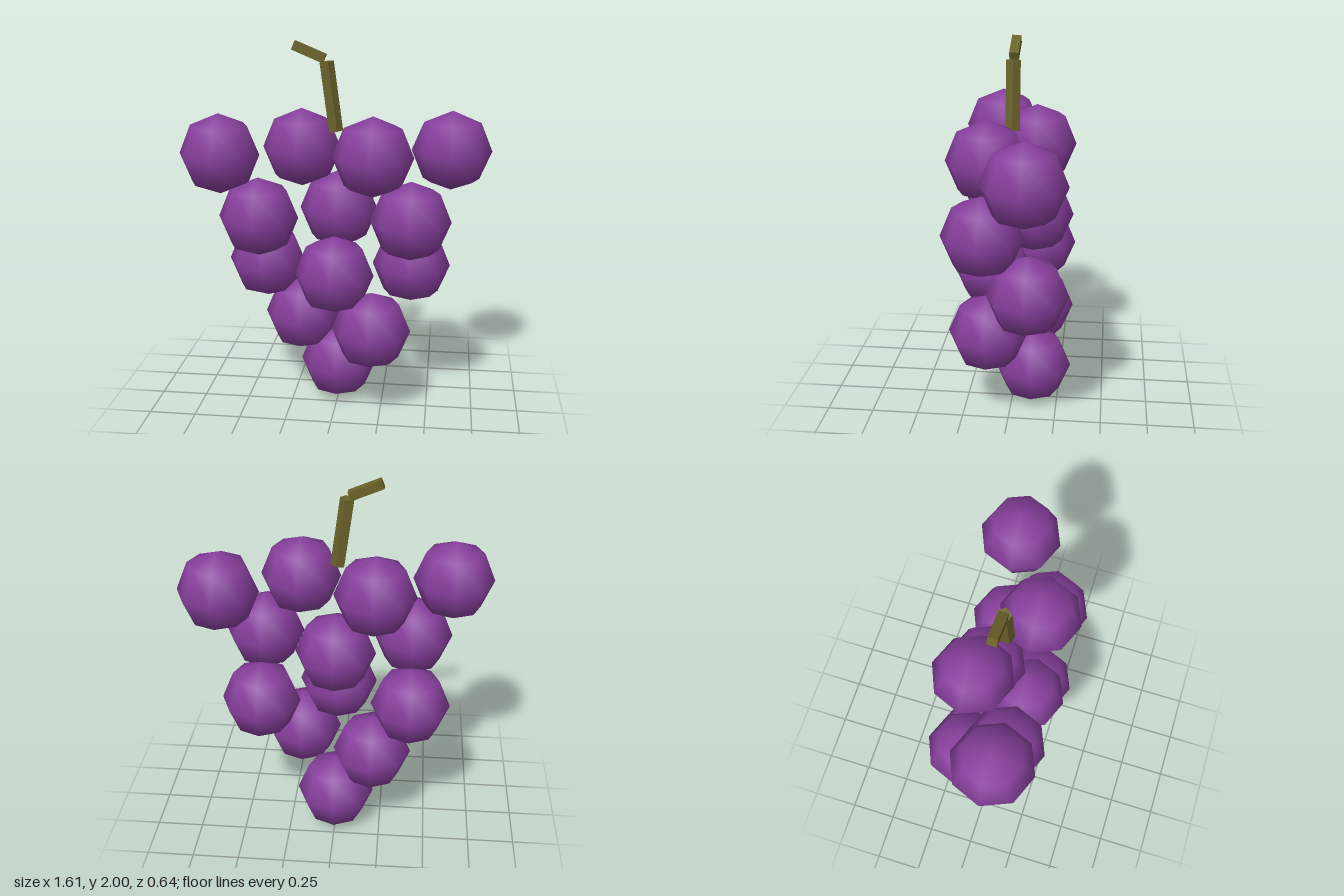
import * as THREE from 'three';

export function createModel() {
  const group = new THREE.Group();
  group.name = 'grapeBunch';

  const purple = new THREE.MeshStandardMaterial({ color: 0x873f9d });
  purple.name = 'grapePurple';
  const olive = new THREE.MeshStandardMaterial({ color: 0x6b632b, flatShading: true });
  olive.name = 'stemOlive';

  // Grapes: rows from top to bottom, alternating between front and back
  const grapeGeometry = new THREE.SphereGeometry(0.21, 8, 4);
  const spacing = 0.397;
  const depth = 0.112;
  const rows = [
    { y: 1.432, sides: [1, -1, 1, -1] },
    { y: 1.102, sides: [1, -1, 1] },
    { y: 0.798, sides: [-1, 1, -1] },
    { y: 0.493, sides: [-1, 1] },
    { y: 0.215, sides: [-1] },
  ];
  rows.forEach(({ y, sides }, row) => {
    sides.forEach((side, i) => {
      const grape = new THREE.Mesh(grapeGeometry, purple);
      grape.name = `grapeRow${row + 1}Number${i + 1}`;
      grape.position.set((i - (sides.length - 1) / 2) * spacing, y, side * depth);
      group.add(grape);
    });
  });

  // Places a stem piece, built along y, between two points in the xy plane
  function addStem(name, geometry, from, to) {
    const stem = new THREE.Mesh(geometry, olive);
    stem.name = name;
    stem.position.set((from.x + to.x) / 2, (from.y + to.y) / 2, 0);
    stem.rotation.z = -Math.atan2(to.x - from.x, to.y - from.y);
    group.add(stem);
  }

  // Lower stem: five-sided, one corner towards +x
  const lowerFrom = new THREE.Vector2(-0.004, 1.543);
  const lowerTo = new THREE.Vector2(-0.052, 1.898);
  const lowerGeometry = new THREE.CylinderGeometry(
    0.039, 0.039, lowerFrom.distanceTo(lowerTo), 5, 1, false, Math.PI / 2);
  addStem('lowerStem', lowerGeometry, lowerFrom, lowerTo);

  // Upper stem: square, bent towards -x
  const upperFrom = new THREE.Vector2(-0.06, 1.912);
  const upperTo = new THREE.Vector2(-0.22, 1.979);
  const upperGeometry = new THREE.BoxGeometry(0.046, upperFrom.distanceTo(upperTo), 0.048);
  addStem('upperStem', upperGeometry, upperFrom, upperTo);

  return group;
}
